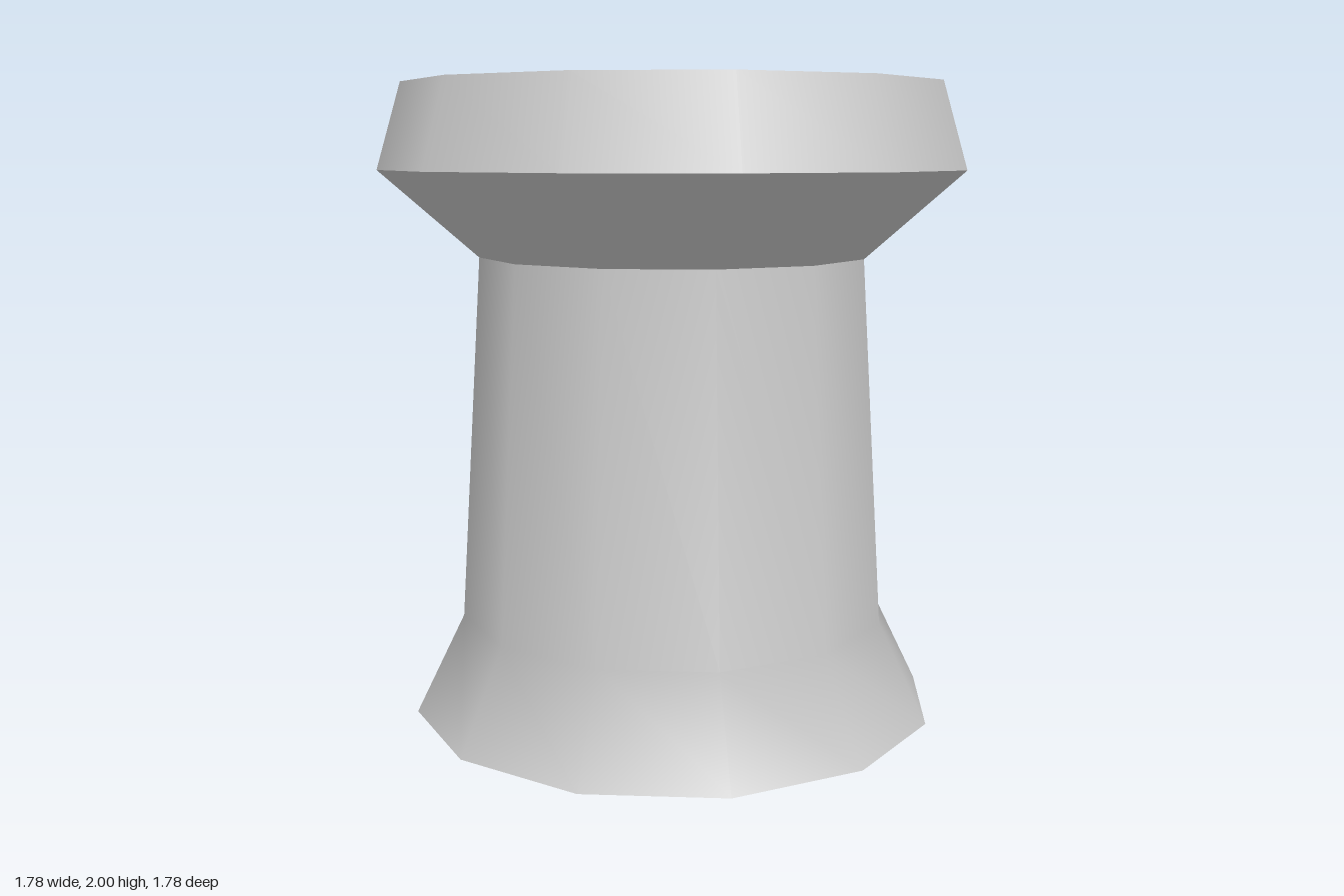
import * as THREE from 'three';

const SIDES = 12;
const START = Math.PI / SIDES; // flat sides face the axes
const SCALE = 1 / Math.cos(Math.PI / SIDES); // flat-to-centre distance -> corner radius

export function createModel() {
  const model = new THREE.Group();
  model.name = 'pedestal';
  const grey = new THREE.MeshStandardMaterial({ color: 0xcccccc });
  grey.name = 'light grey';

  const add = (name, geometry) => {
    const mesh = new THREE.Mesh(geometry, grey);
    mesh.name = name;
    model.add(mesh);
    return mesh;
  };

  // Each band is smooth inside and meets its neighbours at a sharp edge
  const band = (name, profile) => add(name, new THREE.LatheGeometry(
    profile.map(([r, y]) => new THREE.Vector2(r * SCALE, y)), SIDES, START));

  band('flaredShaft', [[0.815, 0], [0.665, 0.315], [0.595, 1.465]]);
  band('headUnderside', [[0.595, 1.465], [0.89, 1.735]]);
  band('headRim', [[0.89, 1.735], [0.815, 2]]);

  // Flat end faces
  const cap = (name, y, turn) => {
    const disc = new THREE.CircleGeometry(0.815 * SCALE, SIDES, START);
    add(name, disc.rotateX(turn)).position.y = y;
  };
  cap('topFace', 2, -Math.PI / 2);
  cap('bottomFace', 0, Math.PI / 2);

  return model;
}
